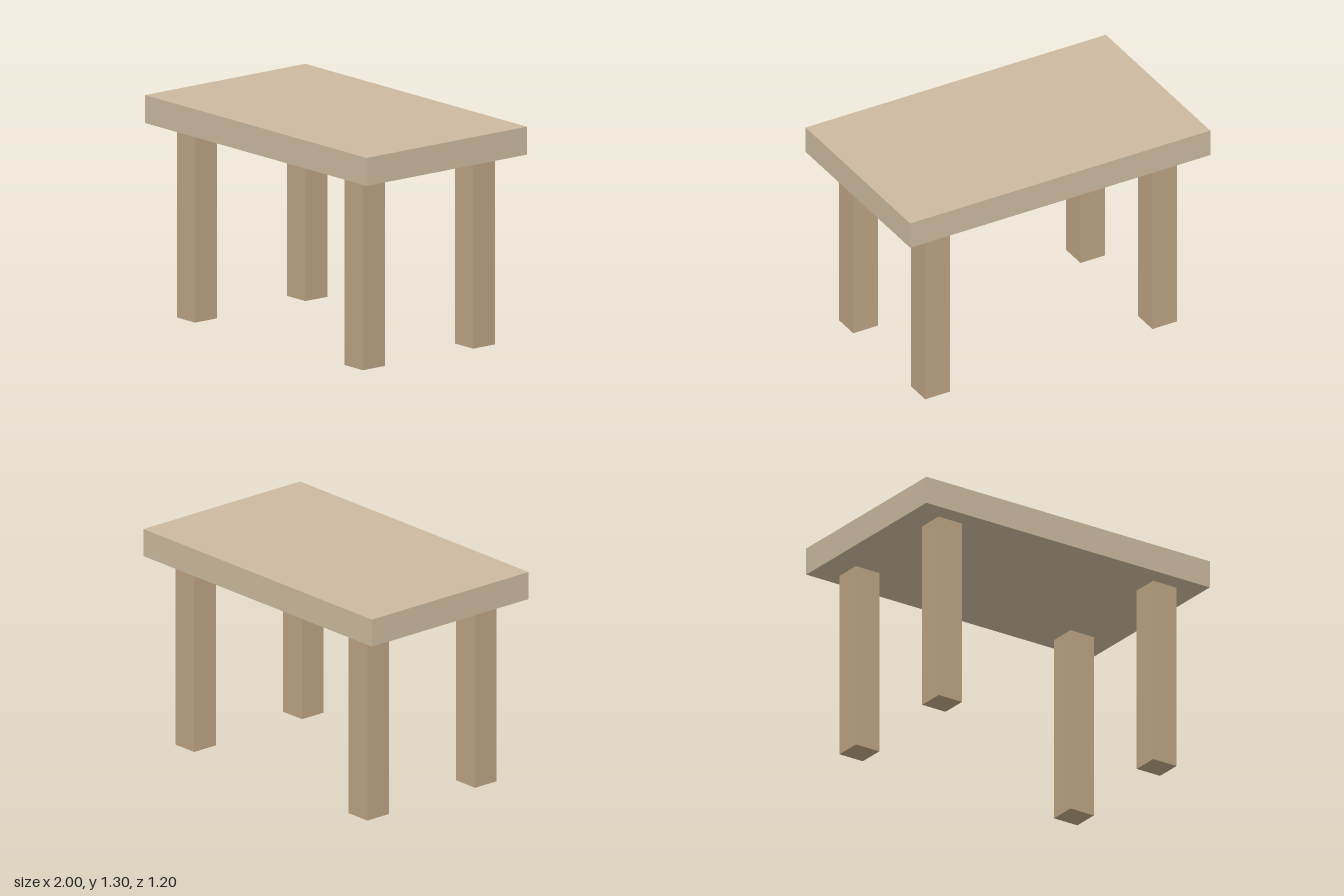
import * as THREE from 'three';

export function createModel() {
  const table = new THREE.Group();
  table.name = 'table';
  const topMaterial = new THREE.MeshStandardMaterial({ color: 0xccba9f });
  const legMaterial = new THREE.MeshStandardMaterial({ color: 0xbda483 });

  const addBox = (name, size, position, material) => {
    const mesh = new THREE.Mesh(new THREE.BoxGeometry(...size), material);
    mesh.name = name;
    mesh.position.set(...position);
    table.add(mesh);
  };

  // Thick slab, resting a hair above the legs
  const slab = 0.166, height = 1.305;
  addBox('tableTop', [2, slab, 1.2], [0, height - slab / 2, 0], topMaterial);

  // Four square legs, inset from the corners
  const legWidth = 0.165, legHeight = 1.134;
  for (const [side, x] of [['Left', 0.757], ['Right', -0.757]]) {
    for (const [end, z] of [['front', 0.413], ['back', -0.413]]) {
      addBox(`${end}${side}Leg`, [legWidth, legHeight, legWidth], [x, legHeight / 2, z], legMaterial);
    }
  }
  return table;
}
